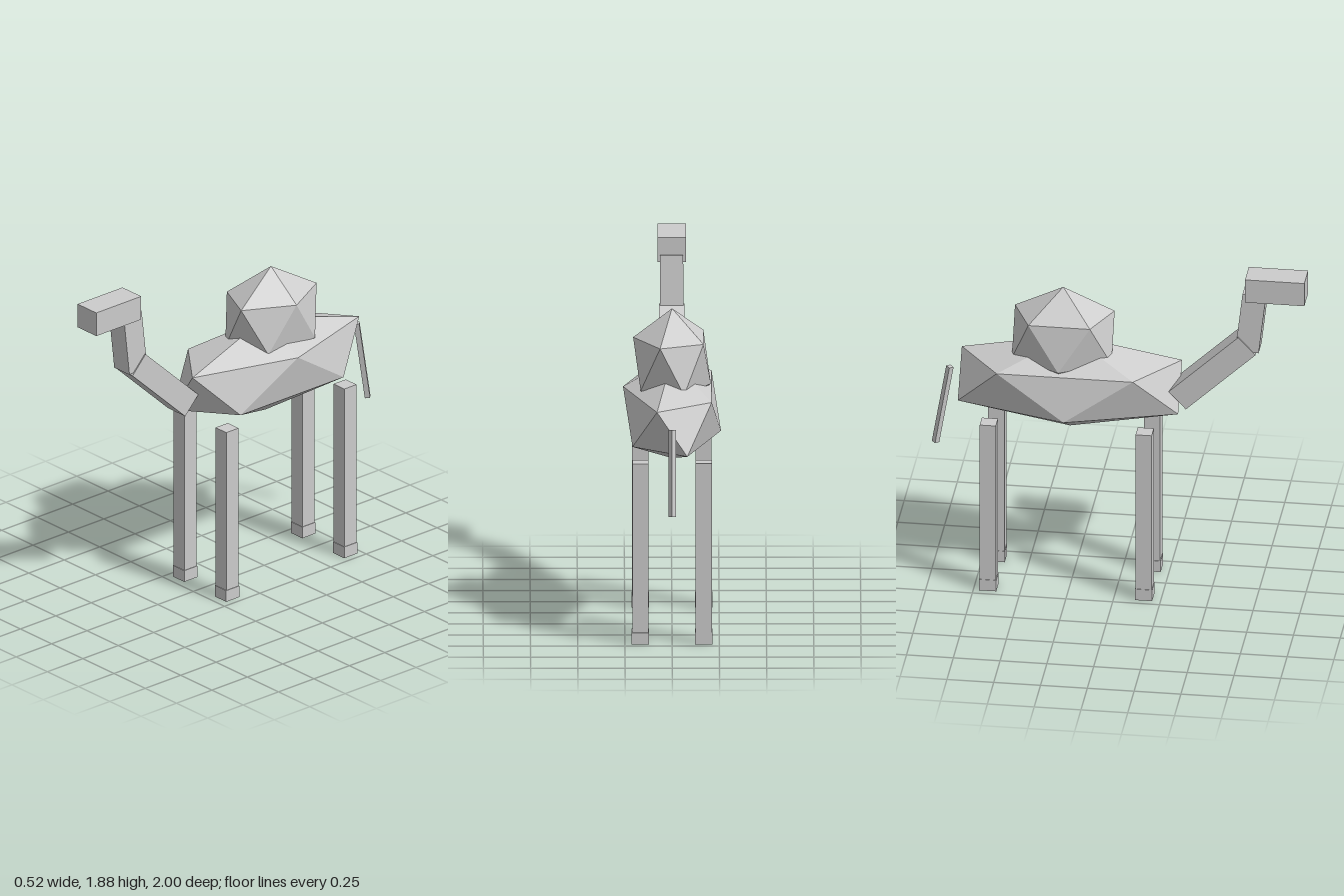
import * as THREE from 'three';
import { ConvexGeometry } from 'three/addons/geometries/ConvexGeometry.js';

export function createModel() {
  const model = new THREE.Group();
  const hide = new THREE.MeshStandardMaterial({ color: 0xcccccc, flatShading: true });
  hide.name = 'pale grey';

  function add(name, geometry, x, y, z, tilt = 0) {
    const mesh = new THREE.Mesh(geometry, hide);
    mesh.name = name;
    mesh.position.set(x, y, z);
    mesh.rotation.x = tilt;
    model.add(mesh);
    return mesh;
  }
  const box = (w, h, d) => new THREE.BoxGeometry(w, h, d);

  // Twenty-sided ball with its poles on y, stretched to the given radii
  function facetedBall(rx, ry, rz) {
    const h = 1 / Math.sqrt(5), r = 2 * h;
    const points = [new THREE.Vector3(0, ry, 0), new THREE.Vector3(0, -ry, 0)];
    for (let i = 0; i < 5; i++) {
      const a = (i * Math.PI * 2) / 5;
      const c = r * Math.cos(a) * rx, s = r * Math.sin(a) * rz;
      points.push(new THREE.Vector3(c, h * ry, s), new THREE.Vector3(-c, -h * ry, -s));
    }
    return new ConvexGeometry(points);
  }

  // Trunk
  add('body', facetedBall(0.29, 0.27, 0.692), 0, 1.176, -0.262);
  add('hump', facetedBall(0.23, 0.283, 0.313), 0, 1.447, -0.298);

  // Neck and head
  add('lowerNeck', box(0.135, 0.51, 0.135), 0, 1.304, 0.506, 0.817);
  add('upperNeck', box(0.122, 0.335, 0.125), 0, 1.612, 0.711, 0.115);
  add('head', box(0.15, 0.135, 0.317), 0, 1.812, 0.842);

  // Tail, a thin four-sided rod hanging behind the body
  add('tail', new THREE.CylinderGeometry(0.02, 0.02, 0.46, 4), 0, 0.987, -0.942, 0.168);

  // Legs and feet
  for (const [end, z] of [['front', 0.16], ['back', -0.673]]) {
    for (const [side, x] of [['Left', 0.168], ['Right', -0.168]]) {
      add(`${end}${side}Leg`, box(0.086, 0.92, 0.086), x, 0.525, z);
      add(`${end}${side}Foot`, box(0.092, 0.065, 0.092), x, 0.0325, z);
    }
  }
  return model;
}
